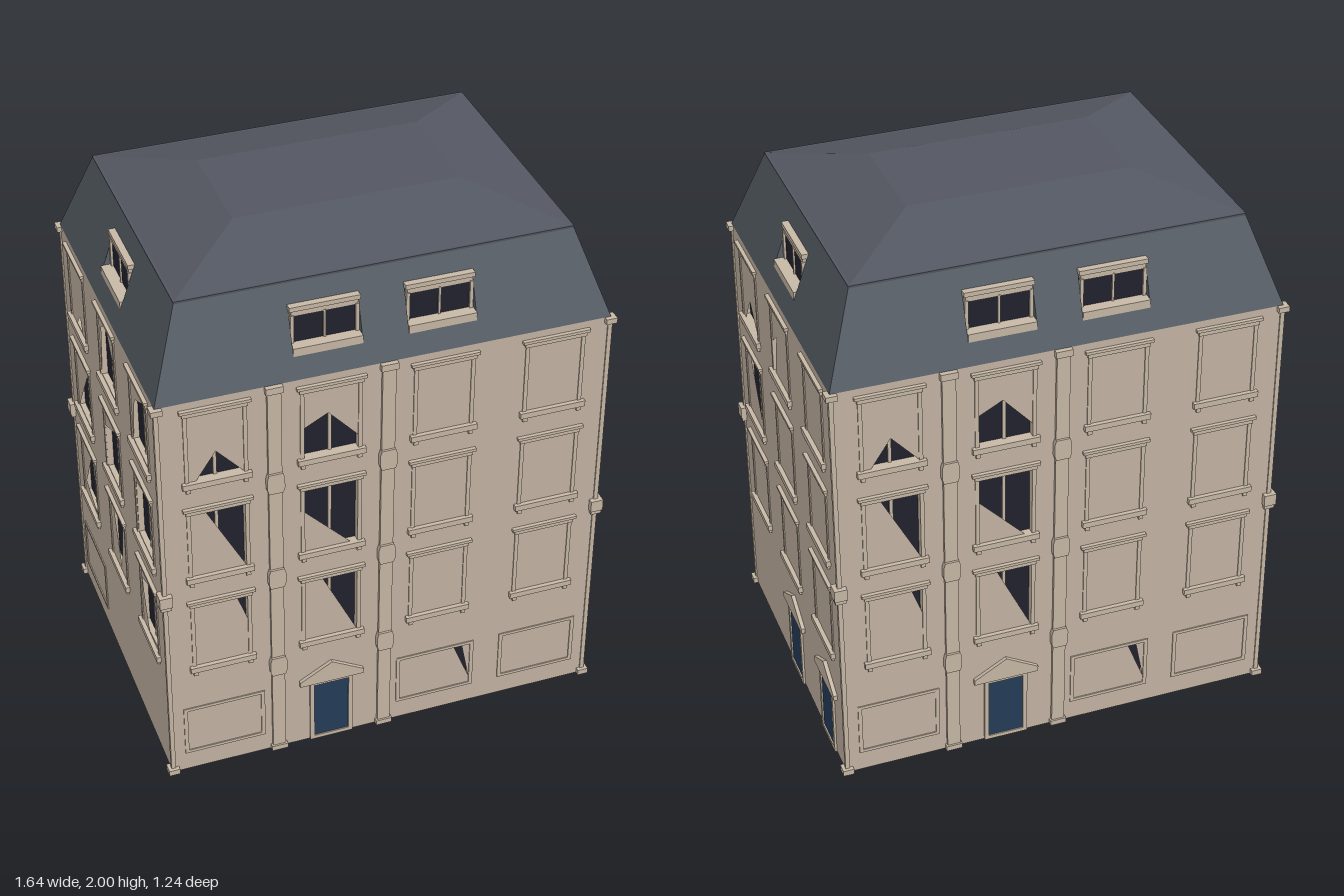
import * as THREE from 'three';

const mat = (name, color) => {
  const m = new THREE.MeshStandardMaterial({ color, side: THREE.DoubleSide, flatShading: true });
  m.name = name;
  return m;
};

export function createModel() {
  const stone = mat('stone wall', 0xc4b4a3);
  const trim = mat('stone trim', 0xc7b8a5);
  const glass = mat('dark glass', 0x22222e);
  const blue = mat('blue door', 0x243c58);
  const slate = mat('slate', 0x596068);
  const topSlate = mat('upper slate', 0x535761);

  const model = new THREE.Group();
  model.name = 'townhouse';

  const add = (parent, name, geo, m) => {
    const mesh = new THREE.Mesh(geo, m);
    mesh.name = name;
    parent.add(mesh);
    return mesh;
  };
  // Box given by its limits
  const box = (parent, name, m, x0, x1, y0, y1, z0, z1) => {
    const mesh = add(parent, name, new THREE.BoxGeometry(x1 - x0, y1 - y0, z1 - z0), m);
    mesh.position.set((x0 + x1) / 2, (y0 + y1) / 2, (z0 + z1) / 2);
    return mesh;
  };
  const poly = (pts, T = THREE.Shape) => new T(pts.map(p => new THREE.Vector2(p[0], p[1])));
  const rect = (x0, x1, y0, y1) => [[x0, y0], [x1, y0], [x1, y1], [x0, y1]];
  const group = (parent, name, x = 0, y = 0) => {
    const g = new THREE.Group();
    g.name = name;
    g.position.set(x, y, 0);
    parent.add(g);
    return g;
  };

  // Set-back glazing with a centre bar and a shallow casing around it
  function glazing(g, w, y0, y1) {
    box(g, 'pane', glass, -w, w, y0, y1, -0.028, -0.022);
    box(g, 'mullion', trim, -0.006, 0.006, y0, y1, -0.032, -0.016);
    for (const s of [-1, 1]) {
      const a = s * w, b = s * (w + 0.014);
      box(g, 'jamb', trim, Math.min(a, b), Math.max(a, b), y0, y1, -0.03, 0.004);
    }
    box(g, 'head', trim, -w - 0.014, w + 0.014, y1, y1 + 0.012, -0.03, 0.004);
    box(g, 'foot', trim, -w - 0.014, w + 0.014, y0 - 0.012, y0, -0.03, 0.004);
  }

  function upperWindow(f, x, y) {
    const g = group(f, 'window', x, y);
    glazing(g, 0.095, 0.01, 0.28);
    box(g, 'lintel', trim, -0.112, 0.112, 0.275, 0.292, 0, 0.008);
    box(g, 'lintelCap', trim, -0.122, 0.122, 0.292, 0.303, 0, 0.014);
    box(g, 'sill', trim, -0.12, 0.12, -0.012, 0.01, 0, 0.016);
    for (const s of [-0.1, 0.1]) box(g, 'bracket', trim, s - 0.008, s + 0.008, -0.03, -0.012, 0, 0.01);
  }

  function door(f, x) {
    const g = group(f, 'door', x);
    box(g, 'doorLeaf', blue, -0.066, 0.066, 0.015, 0.26, -0.01, 0.003);
    box(g, 'doorStep', trim, -0.08, 0.08, 0, 0.015, -0.01, 0.008);
    for (const s of [-1, 1]) box(g, 'doorJamb', trim, s * 0.073 - 0.008, s * 0.073 + 0.008, 0, 0.27, -0.01, 0.008);
    box(g, 'doorHead', trim, -0.08, 0.08, 0.258, 0.27, -0.01, 0.008);
    const ped = poly([[-0.12, 0.27], [0.12, 0.27], [0.12, 0.29], [0, 0.358], [-0.12, 0.29]]);
    add(g, 'pediment', new THREE.ExtrudeGeometry(ped, { depth: 0.024, bevelEnabled: false }), trim).position.z = -0.01;
  }

  function pilaster(f, x) {
    const g = group(f, 'pilaster', x);
    box(g, 'shaft', trim, -0.024, 0.024, 0, 1.6, 0, 0.011);
    const collar = poly([[-0.025, -0.04], [0.025, -0.04], [0.031, -0.02], [0.031, 0.02],
      [0.025, 0.04], [-0.025, 0.04], [-0.031, 0.02], [-0.031, -0.02]]);
    for (const y of [0.4, 0.8, 1.21])
      add(g, 'collar', new THREE.ExtrudeGeometry(collar, { depth: 0.019, bevelEnabled: false }), trim).position.y = y;
    box(g, 'base', trim, -0.03, 0.03, 0, 0.02, 0, 0.018);
    box(g, 'cap', trim, -0.03, 0.03, 1.575, 1.6, 0, 0.018);
  }

  // Mansard slope: set back by the same rule at every height
  const slopeIn = y => (y - 1.6) * 0.11 / 0.315;

  function dormer(f, x) {
    const g = group(f, 'dormer', x);
    box(g, 'pane', glass, -0.11, 0.11, 1.7, 1.81, -0.075, -0.068);
    box(g, 'mullion', trim, -0.004, 0.004, 1.7, 1.81, -0.075, -0.062);
    for (const s of [-1, 1]) {
      box(g, 'jamb', trim, s * 0.112 - 0.006, s * 0.112 + 0.006, 1.7, 1.81, -0.075, -0.06);
      const cheek = poly([[0.07, 1.69], [slopeIn(1.69), 1.69], [0.07, 1.8]]);
      const m = add(g, 'cheek', new THREE.ShapeGeometry(cheek), slate);
      m.rotation.y = Math.PI / 2;
      m.position.x = s * 0.12;
    }
    box(g, 'lintel', trim, -0.115, 0.115, 1.805, 1.825, -0.09, -0.064);
    box(g, 'lintelCap', trim, -0.122, 0.122, 1.825, 1.842, -0.095, -0.06);
    box(g, 'sill', trim, -0.12, 0.12, 1.675, 1.705, -0.075, -0.026);
  }

  // One side of the house, built facing +z around its own wall plane
  function facade(name, half, dist, turn, o) {
    const f = group(model, name);
    f.rotation.y = turn;
    f.position.set(Math.sin(turn) * dist, 0, Math.cos(turn) * dist);

    const wall = poly(rect(-half, half, 0, 1.6));
    wall.holes = o.holes.map(h => poly(h, THREE.Path));
    add(f, 'wall', new THREE.ShapeGeometry(wall), stone);

    for (const x of o.columns) for (const y of [0.47, 0.87, 1.27]) upperWindow(f, x, y);
    for (const x of o.ground) glazing(group(f, 'groundWindow', x), 0.136, 0.09, 0.275);
    o.doors.forEach(x => door(f, x));
    o.pilasters.forEach(x => pilaster(f, x));

    const roof = poly([[-half, 1.6], [half, 1.6], [half - 0.11, 1.915], [-half + 0.11, 1.915]]);
    roof.holes = o.dormers.map(x => poly(rect(x - 0.12, x + 0.12, 1.69, 1.82), THREE.Path));
    const geo = new THREE.ShapeGeometry(roof);
    const p = geo.attributes.position;
    for (let i = 0; i < p.count; i++) p.setZ(i, -slopeIn(p.getY(i)));
    geo.computeVertexNormals();
    add(f, 'lowerRoof', geo, slate);
    o.dormers.forEach(x => dormer(f, x));
  }

  // Front and back share one design
  const long = {
    columns: [-0.6, -0.2, 0.2, 0.6], ground: [-0.6, 0.2, 0.6], doors: [-0.2],
    pilasters: [-0.4, 0], dormers: [-0.2, 0.2],
    holes: [
      [[-0.67, 1.28], [-0.505, 1.28], [-0.6, 1.385]],
      [[-0.295, 1.28], [-0.105, 1.28], [-0.105, 1.33], [-0.21, 1.445], [-0.295, 1.4]],
      [[-0.64, 1.14], [-0.505, 0.88], [-0.505, 1.14]],
      [[-0.295, 1.14], [-0.295, 1.05], [-0.13, 0.88], [-0.105, 0.88], [-0.105, 1.14]],
      [[-0.54, 0.74], [-0.505, 0.64], [-0.505, 0.74]],
      [[-0.23, 0.74], [-0.105, 0.48], [-0.105, 0.74]],
      [[0.275, 0.272], [0.335, 0.12], [0.305, 0.272]],
    ],
  };
  facade('front', 0.8, 0.6, 0, long);
  facade('back', 0.8, 0.6, Math.PI, long);

  const sides = { columns: [-0.4, 0, 0.4], pilasters: [], dormers: [0] };
  facade('doorSide', 0.6, 0.8, Math.PI / 2, {
    ...sides, ground: [], doors: [0, 0.4],
    holes: [
      [[-0.47, 1.28], [-0.305, 1.28], [-0.4, 1.385]],
      [[-0.095, 1.28], [-0.08, 1.28], [-0.045, 1.44], [-0.095, 1.4]],
      [[-0.445, 1.14], [-0.305, 0.88], [-0.305, 1.14]],
      [[-0.34, 0.74], [-0.305, 0.64], [-0.305, 0.74]],
    ],
  });
  facade('plainSide', 0.6, 0.8, -Math.PI / 2, {
    ...sides, ground: [-0.4], doors: [],
    holes: [
      [[-0.43, 1.285], [-0.36, 1.285], [-0.38, 1.34]],
      [[-0.094, 1.285], [0.09, 1.285], [0.08, 1.42], [0, 1.54], [-0.06, 1.5]],
      [[0.31, 1.285], [0.49, 1.285], [0.49, 1.54], [0.35, 1.47]],
      [[-0.49, 0.885], [-0.31, 0.885], [-0.31, 1.14]],
      [[-0.094, 0.885], [0.05, 0.885], [0.094, 1.14], [-0.094, 1.06]],
      [[0.31, 0.885], [0.49, 0.885], [0.49, 1.14], [0.31, 1.1]],
      [[-0.47, 0.54], [-0.31, 0.485], [-0.35, 0.74]],
      [[-0.06, 0.74], [0.02, 0.5], [0.07, 0.74]],
      [[0.31, 0.68], [0.38, 0.485], [0.49, 0.5], [0.49, 0.74]],
    ],
  });

  // Slim corner posts with base, middle block and cap
  for (const sx of [-1, 1]) for (const sz of [-1, 1]) {
    const c = group(model, 'cornerPost');
    c.position.set(sx * 0.797, 0, sz * 0.597);
    for (const [r, y0, y1] of [[0.008, 0, 1.6], [0.02, 0, 0.022], [0.023, 0.78, 0.825], [0.019, 0.765, 0.78], [0.02, 1.58, 1.6]])
      box(c, 'postBlock', trim, -r, r, y0, y1, -r, r);
  }

  // Shallow hipped upper roof over a thin eave
  const eave = box(model, 'roofEave', topSlate, -0.692, 0.692, 1.908, 1.917, -0.492, 0.492);
  eave.position.y = 1.9125;
  const cap = new THREE.BoxGeometry(1.38, 0.085, 0.98);
  const v = cap.attributes.position;
  for (let i = 0; i < v.count; i++)
    if (v.getY(i) > 0) { v.setX(i, Math.sign(v.getX(i)) * 0.4); v.setZ(i, Math.sign(v.getZ(i)) * 0.2); }
  cap.computeVertexNormals();
  add(model, 'upperRoof', cap, topSlate).position.y = 1.9575;

  return model;
}
